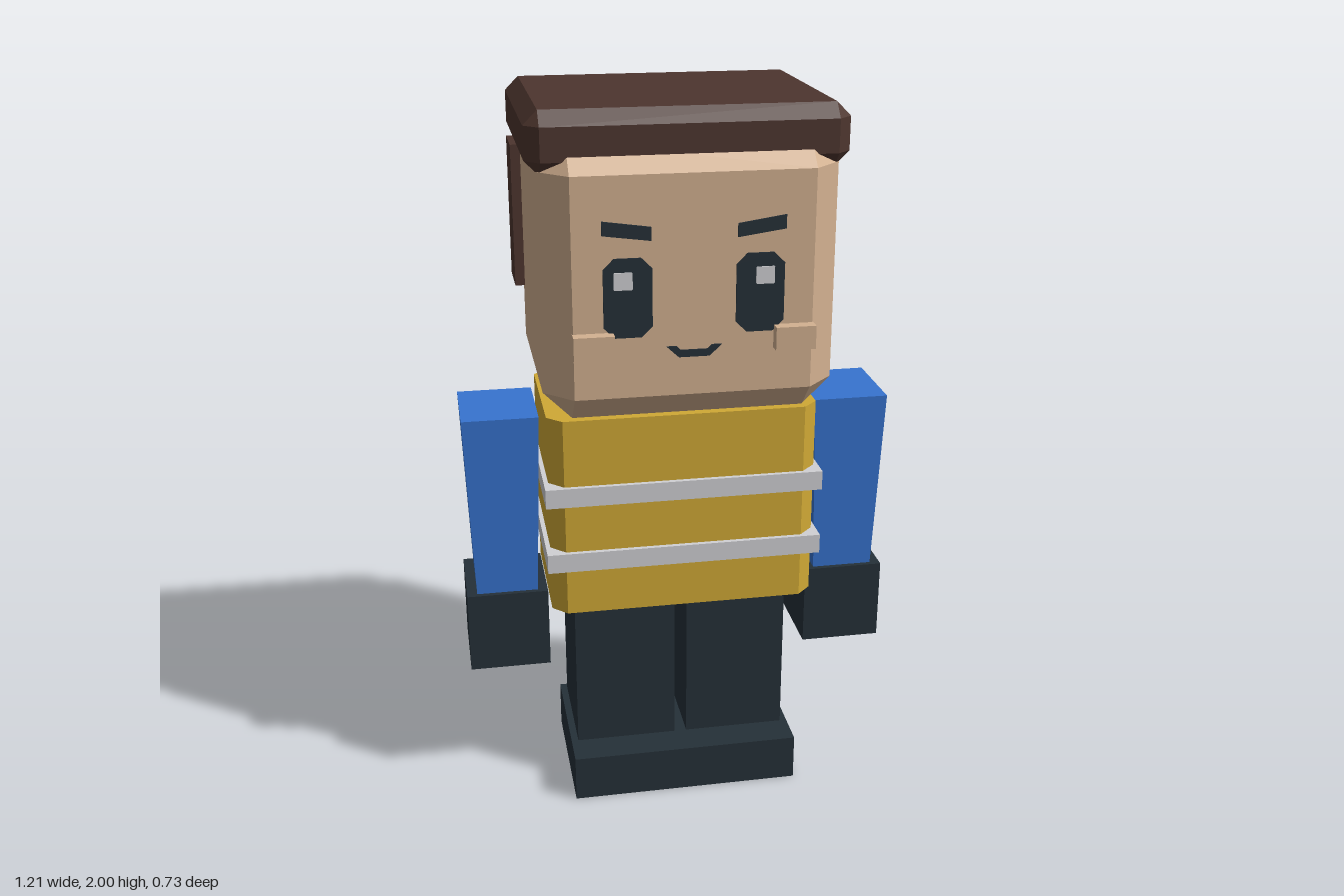
import * as THREE from 'three';
import { ConvexGeometry } from 'three/addons/geometries/ConvexGeometry.js';

const mat = (name, color) => {
  const m = new THREE.MeshStandardMaterial({ color });
  m.name = name;
  return m;
};

// Box given by its limits on each axis
function box(x0, x1, y0, y1, z0, z1) {
  return new THREE.BoxGeometry(x1 - x0, y1 - y0, z1 - z0)
    .translate((x0 + x1) / 2, (y0 + y1) / 2, (z0 + z1) / 2);
}

// Box with every edge cut by a flat bevel
function bevelBox(w, h, d, b) {
  const pts = [];
  for (const x of [-1, 1]) for (const y of [-1, 1]) for (const z of [-1, 1]) {
    for (let axis = 0; axis < 3; axis++) {
      const half = [w / 2, h / 2, d / 2].map((s, i) => (i === axis ? s : s - b));
      pts.push(new THREE.Vector3(x * half[0], y * half[1], z * half[2]));
    }
  }
  return new ConvexGeometry(pts);
}

// Flat outline with its corners cut, centred on 0
function cutRect(w, h, c) {
  const x = w / 2, y = h / 2;
  return [[-x + c, -y], [x - c, -y], [x, -y + c], [x, y - c],
    [x - c, y], [-x + c, y], [-x, y - c], [-x, -y + c]];
}

// Outline extruded along z
function plate(points, depth = 0.004) {
  const shape = new THREE.Shape(points.map(([x, y]) => new THREE.Vector2(x, y)));
  return new THREE.ExtrudeGeometry(shape, { depth, bevelEnabled: false });
}

export function createModel() {
  const model = new THREE.Group();
  model.name = 'blockFigure';
  const skin = mat('skin', 0xd3b191);
  const hair = mat('darkBrown', 0x4d352e);
  const yellow = mat('vestYellow', 0xd0a935);
  const blue = mat('sleeveBlue', 0x3774d0);
  const dark = mat('darkNavy', 0x253038);
  const silver = mat('silver', 0xd1d1d4);

  const add = (name, geometry, material) => {
    const mesh = new THREE.Mesh(geometry, material);
    mesh.name = name;
    model.add(mesh);
    return mesh;
  };

  // Head and hair
  add('head', bevelBox(0.77, 0.725, 0.666, 0.075), skin).position.y = 1.5625;
  add('hairTop', bevelBox(0.824, 0.16, 0.66, 0.037), hair).position.set(0, 1.92, -0.036);
  add('hairBack', box(-0.412, 0.412, 1.43, 1.83, -0.366, -0.222), hair);

  // Vest: upright prism with cut corners, and two bands
  add('vest', plate(cutRect(0.745, 0.438, 0.04), 0.575)
    .rotateX(-Math.PI / 2).translate(0, 0.6, 0), yellow);
  for (const y of [0.735, 0.93]) {
    add('vestBand', box(-0.385, 0.385, y, y + 0.055, -0.232, 0.232), silver);
  }

  // Shared foot block
  add('feet', box(-0.327, 0.327, 0, 0.135, -0.17, 0.25), dark);

  // Paired parts
  for (const s of [1, -1]) {
    const side = s > 0 ? 'left' : 'right';
    const pair = (x0, x1, ...rest) => box(...(s > 0 ? [x0, x1] : [-x1, -x0]), ...rest);

    add(side + 'Leg', pair(0.018, 0.307, 0.135, 0.6, -0.152, 0.152), dark);
    add(side + 'Hand', pair(0.378, 0.607, 0.39, 0.625, -0.124, 0.121), dark);

    // Sleeve narrows towards the hand
    const sleeve = new THREE.BoxGeometry(0.21, 0.535, 0.245);
    const p = sleeve.attributes.position;
    for (let i = 0; i < p.count; i++) {
      if (p.getY(i) < 0) {
        p.setX(i, p.getX(i) * 0.82);
        p.setZ(i, p.getZ(i) * 0.88);
      }
    }
    sleeve.computeVertexNormals();
    add(side + 'Sleeve', sleeve, blue).position.set(s * 0.492, 0.8875, -0.001);

    // Face details
    add(side + 'Cheek', pair(0.208, 0.313, 1.39, 1.452, 0.32, 0.366), skin);
    add(side + 'Eye', plate(cutRect(0.125, 0.206, 0.028)), dark)
      .position.set(s * 0.17, 1.54, 0.333);
    add(side + 'EyeShine', plate(cutRect(0.048, 0.045, 0.002)), silver)
      .position.set(s * 0.182, 1.585, 0.336);
    add(side + 'Brow', plate([[0.11, 1.685], [0.234, 1.702], [0.234, 1.738], [0.11, 1.72]]
      .map(([x, y]) => [s * x, y])), dark).position.z = 0.333;
  }

  add('mouth', plate([[-0.04, 1.378], [0.04, 1.378], [0.072, 1.408], [0.046, 1.408],
    [0.035, 1.397], [-0.035, 1.397], [-0.046, 1.408], [-0.072, 1.408]]), dark).position.z = 0.333;

  return model;
}
